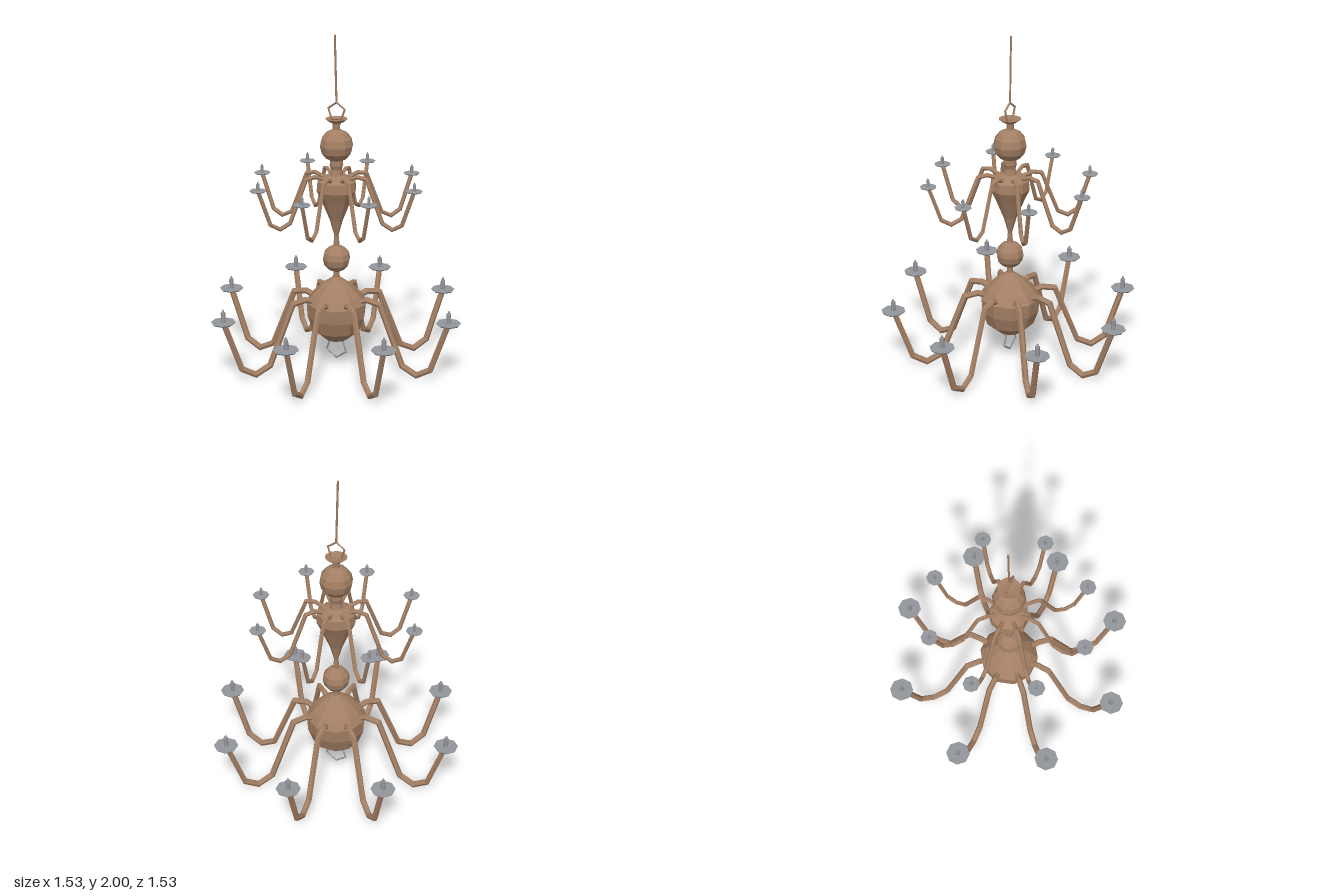
import * as THREE from 'three';

const brass = new THREE.MeshStandardMaterial({ name: 'brownBronze', color: 0xa37f64, flatShading: true });
const steel = new THREE.MeshStandardMaterial({ name: 'greyMetal', color: 0x92959a, flatShading: true });

function add(parent, name, geometry, material, x = 0, y = 0, z = 0) {
  const mesh = new THREE.Mesh(geometry, material);
  mesh.name = name;
  mesh.position.set(x, y, z);
  parent.add(mesh);
  return mesh;
}

// Ten-sided turned part from [radius, height] pairs, bottom to top
function turned(parent, name, profile) {
  const points = profile.map(([r, y]) => new THREE.Vector2(r, y));
  add(parent, name, new THREE.LatheGeometry(points, 10), brass).rotation.y = Math.PI / 2;
}

// Mitred bar following a polyline in the xy plane
function sweep(path, radius, sides = 6) {
  const pts = path.map(([x, y]) => new THREE.Vector2(x, y));
  const pos = [], index = [];
  pts.forEach((p, i) => {
    const a = p.clone().sub(pts[Math.max(i - 1, 0)]).normalize();
    const b = pts[Math.min(i + 1, pts.length - 1)].clone().sub(p).normalize();
    const t = a.clone().add(b).normalize();
    const stretch = 1 / Math.max(t.dot(i ? a : b), 0.5);
    for (let s = 0; s < sides; s++) {
      const ang = ((s + 0.5) / sides) * Math.PI * 2;
      const n = Math.cos(ang) * radius * stretch;
      pos.push(p.x - t.y * n, p.y + t.x * n, Math.sin(ang) * radius);
    }
  });
  for (let i = 0; i < pts.length - 1; i++) {
    for (let s = 0; s < sides; s++) {
      const a = i * sides + s, b = i * sides + (s + 1) % sides;
      index.push(a, b, a + sides, b, b + sides, a + sides);
    }
  }
  // end caps
  const last = (pts.length - 1) * sides;
  for (let s = 1; s < sides - 1; s++) {
    index.push(0, s + 1, s, last, last + s, last + s + 1);
  }
  const g = new THREE.BufferGeometry();
  g.setAttribute('position', new THREE.Float32BufferAttribute(pos, 3));
  g.setIndex(index);
  const flat = g.toNonIndexed();
  flat.computeVertexNormals();
  return flat;
}

const armGeometry = sweep([
  [0.11, 0.415], [0.145, 0.425], [0.195, 0.445], [0.275, 0.43], [0.42, 0.065],
  [0.51, 0.02], [0.595, 0.07], [0.70, 0.38],
], 0.018);

// Ring of eight arms, each with a drip dish and candle
function tier(parent, name, scale, y) {
  const group = new THREE.Group();
  group.name = name;
  group.position.y = y;
  group.scale.setScalar(scale);
  for (let i = 0; i < 8; i++) {
    const arm = new THREE.Group();
    arm.name = 'candleArm';
    arm.rotation.y = (i * Math.PI) / 4;
    add(arm, 'arm', armGeometry, brass);
    add(arm, 'dripDish', new THREE.CylinderGeometry(0.072, 0.066, 0.008, 8), steel, 0.70, 0.38).rotation.y = Math.PI / 8;
    add(arm, 'candle', new THREE.CylinderGeometry(0.014, 0.014, 0.06, 8), steel, 0.70, 0.412);
    add(arm, 'wick', new THREE.CylinderGeometry(0.004, 0.009, 0.018, 6), steel, 0.70, 0.45);
    group.add(arm);
  }
  parent.add(group);
}

// Sphere profile between two neck radii
function ball(y, r, neck) {
  const a0 = Math.asin(neck / r), points = [];
  for (let i = 0; i <= 6; i++) {
    const a = a0 + ((Math.PI - 2 * a0) * i) / 6;
    points.push([r * Math.sin(a), y - r * Math.cos(a)]);
  }
  return points;
}

export function createModel() {
  const model = new THREE.Group();
  model.name = 'chandelier';

  // Central column
  turned(model, 'lowerUrn', [
    [0, 0.15], [0.07, 0.175], [0.145, 0.24], [0.175, 0.325], [0.18, 0.41],
    [0.145, 0.46], [0.09, 0.515], [0.02, 0.565], [0.018, 0.61],
  ]);
  turned(model, 'lowerBall', [...ball(0.68, 0.082, 0.018), [0.014, 0.82]]);
  turned(model, 'upperUrn', [
    [0.008, 0.76], [0.012, 0.82], [0.04, 0.92], [0.085, 1.03], [0.117, 1.10],
    [0.112, 1.155], [0.085, 1.175], [0.04, 1.19], [0.032, 1.225], [0.04, 1.25], [0.038, 1.275], [0.025, 1.29],
  ]);
  turned(model, 'upperBall', ball(1.365, 0.097, 0.022));
  turned(model, 'crown', [
    [0.022, 1.44], [0.022, 1.495], [0.04, 1.503], [0.065, 1.522], [0.03, 1.514], [0, 1.512],
  ]);

  // Arms
  tier(model, 'lowerTier', 1, 0);
  tier(model, 'upperTier', 0.68, 0.888);

  // Hanging loop, rod and bottom loop
  add(model, 'hangingLoop', new THREE.TorusGeometry(0.053, 0.007, 4, 5), brass, 0, 1.563).rotation.z = Math.PI / 2;
  add(model, 'hangingRod', new THREE.CylinderGeometry(0.006, 0.006, 0.385, 6), brass, -0.005, 1.807).rotation.z = 0.026;
  add(model, 'bottomLoop', new THREE.TorusGeometry(0.066, 0.007, 4, 5), steel, 0, 0.113).rotation.z = -Math.PI / 2;

  return model;
}
